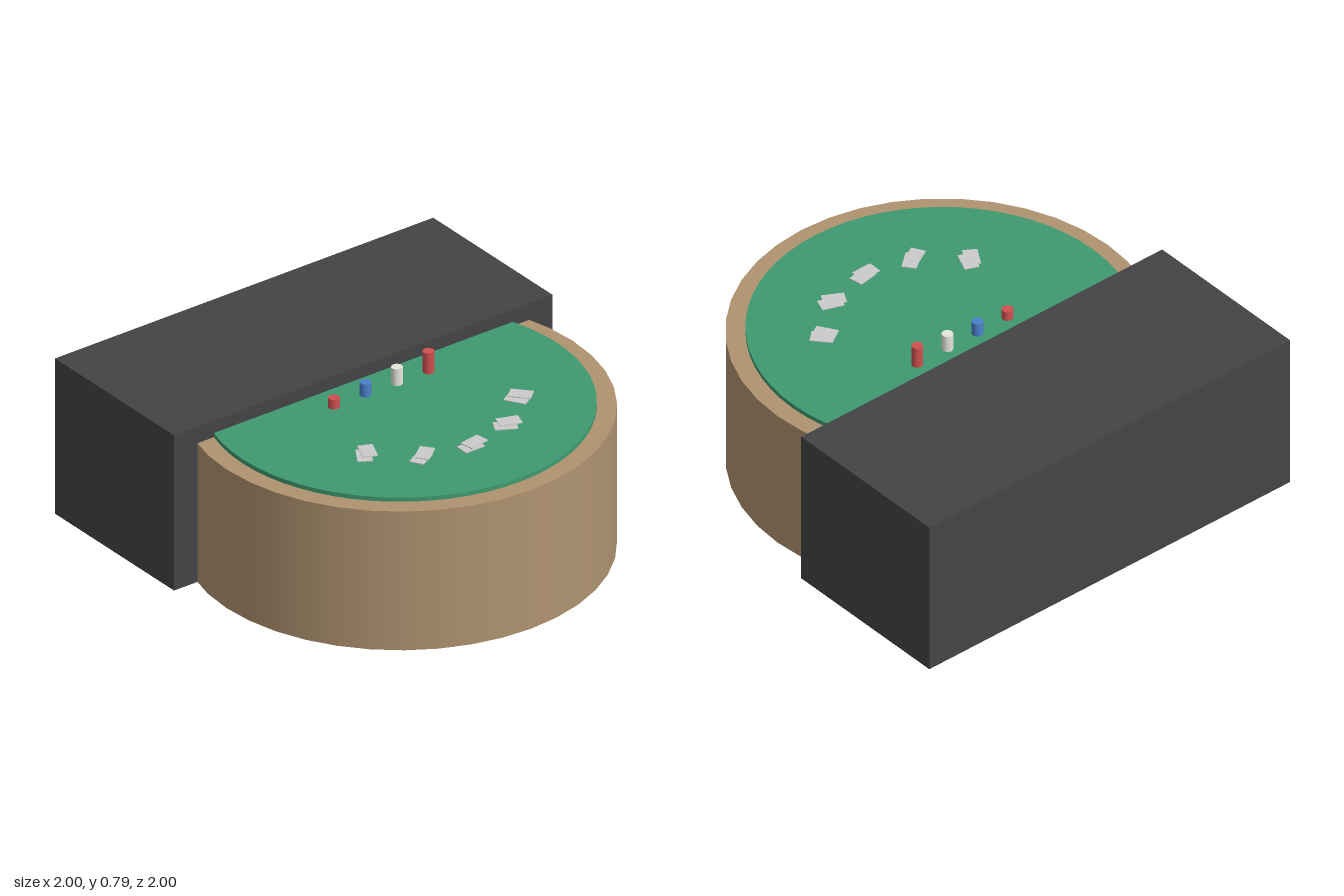
import * as THREE from 'three';

const mat = (color) => new THREE.MeshStandardMaterial({ color });

export function createModel() {
  const group = new THREE.Group();
  const add = (name, geometry, material, x, y, z, turn = 0) => {
    const mesh = new THREE.Mesh(geometry, material);
    mesh.name = name;
    mesh.position.set(x, y, z);
    mesh.rotation.y = turn;
    group.add(mesh);
    return mesh;
  };

  const centreZ = 0.085;
  const feltTop = 0.69;

  // Round table body, felt disc and the dealer's block behind
  add('tableBody', new THREE.CylinderGeometry(0.915, 0.915, 0.67, 40), mat(0xb09370), 0, 0.335, centreZ);
  add('feltTop', new THREE.CylinderGeometry(0.83, 0.83, 0.02, 64), mat(0x3f9a70), 0, 0.68, centreZ);
  add('dealerBlock', new THREE.BoxGeometry(2, 0.75, 0.83), mat(0x444446), 0, 0.375, -0.585);

  // Chip stacks, rising from right to left
  const red = mat(0xd04f4f), blue = mat(0x4a80cc), white = mat(0xe6e6de);
  [[red, 0.045], [blue, 0.063], [white, 0.08], [red, 0.1]].forEach(([material, height], i) => {
    const x = -0.25 + i * 0.1667;
    add('chipStack', new THREE.CylinderGeometry(0.025, 0.025, height, 20), material, x, feltTop + height / 2, -0.045);
  });

  // Pairs of overlapping cards in an arc around the felt
  const card = new THREE.BoxGeometry(0.1, 0.004, 0.066);
  const cardMaterial = mat(0xcccccc);
  const hands = [[-0.405, 0.37, 58], [-0.225, 0.53, 29], [0, 0.58, 0], [0.225, 0.525, -29], [0.405, 0.37, -58]];
  for (const [x, z, degrees] of hands) {
    const turn = THREE.MathUtils.degToRad(degrees);
    add('lowerCard', card, cardMaterial, x, feltTop + 0.002, z, turn);
    add('upperCard', card, cardMaterial, x + 0.032, feltTop + 0.006, z - 0.018, turn + 0.16);
  }
  return group;
}
